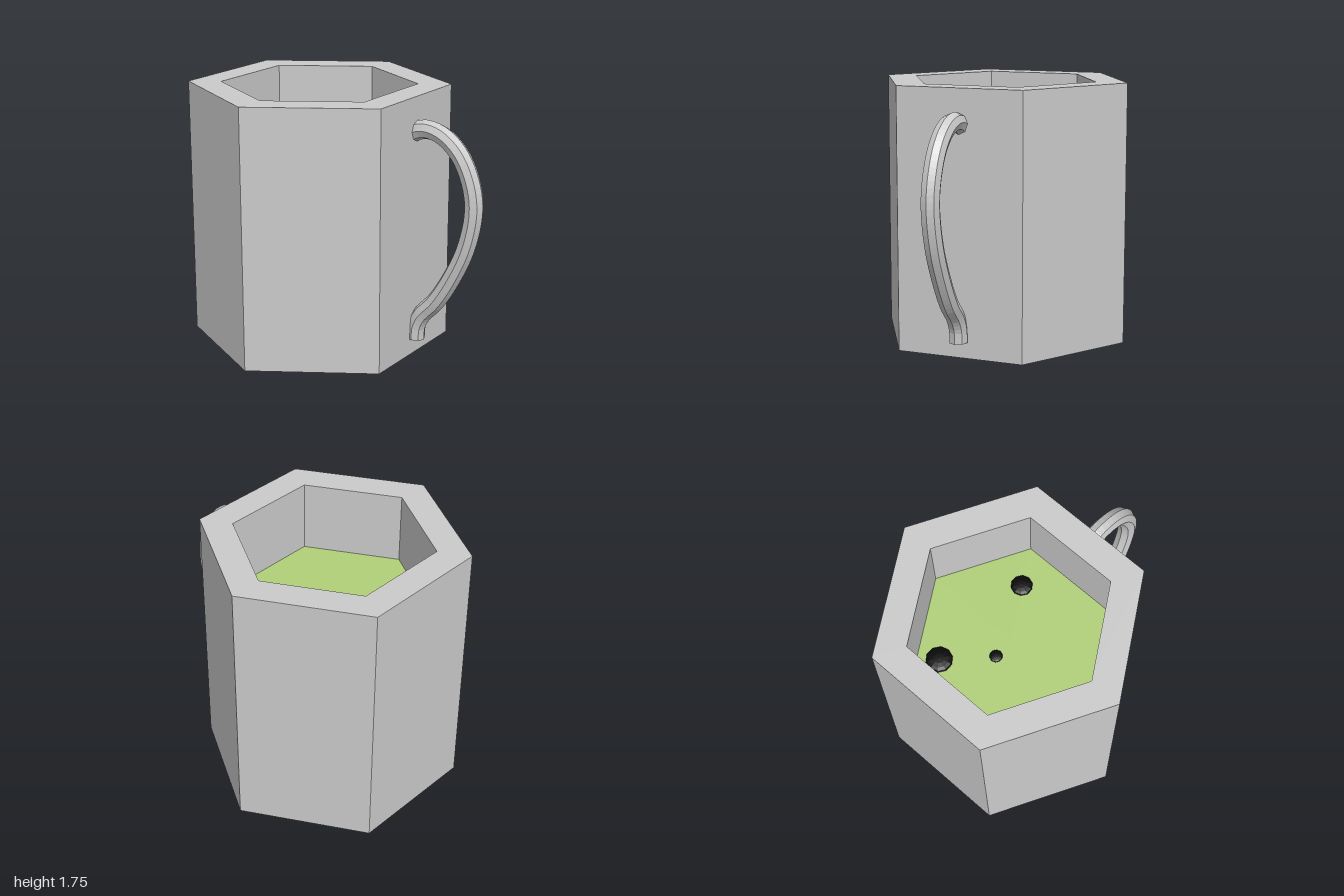
import * as THREE from 'three';

const CX = -0.245;      // axis of the cup body
const LEVEL = 1.265;    // height of the drink

function part(name, geometry, color = 0xcccccc) {
  const material = new THREE.MeshStandardMaterial({ color, flatShading: true });
  const mesh = new THREE.Mesh(geometry, material);
  mesh.name = name;
  return mesh;
}

export function createModel() {
  const group = new THREE.Group();
  group.name = 'mug';

  // Six-sided cup: underside, outer wall, rim, inner wall, inner floor
  const profile = [[0, 0], [0.872, 0], [0.872, 1.75], [0.653, 1.75], [0.653, 0.2], [0, 0.2]]
    .map(([r, y]) => new THREE.Vector2(r, y));
  const cup = part('cup', new THREE.LatheGeometry(profile, 6));
  cup.position.x = CX;
  group.add(cup);

  // Drink surface
  const drink = part('drink', new THREE.CircleGeometry(0.653, 6, Math.PI / 2), 0xb0d078);
  drink.rotation.x = -Math.PI / 2;
  drink.position.set(CX, LEVEL, 0);
  group.add(drink);

  // Dark pearls floating mostly submerged: x, z, radius
  const pearls = [[-0.64, -0.26, 0.088], [0.087, -0.2, 0.072], [-0.385, -0.003, 0.043]];
  for (const [x, z, r] of pearls) {
    const pearl = part('pearl', new THREE.SphereGeometry(r, 10, 8), 0x0a0a0a);
    pearl.scale.y = 0.3;
    pearl.position.set(x, LEVEL, z);
    group.add(pearl);
  }

  // Eight-sided handle, its top end sunk into the wall
  const path = new THREE.CatmullRomCurve3([
    [0.44, 1.48], [0.5, 1.522], [0.585, 1.543], [0.7, 1.515], [0.82, 1.415], [0.905, 1.25],
    [0.935, 1.07], [0.89, 0.82], [0.79, 0.59], [0.67, 0.395], [0.57, 0.285], [0.53, 0.2], [0.523, 0.11],
  ].map(([x, y]) => new THREE.Vector3(x, y, 0)));
  const handle = new THREE.Group();
  handle.name = 'handle';
  handle.add(part('handleBar', new THREE.TubeGeometry(path, 48, 0.0625, 8)));

  // Cap closing the lower end
  const cap = part('handleEnd', new THREE.CircleGeometry(0.0625, 8));
  cap.position.copy(path.getPointAt(1));
  cap.quaternion.setFromUnitVectors(new THREE.Vector3(0, 0, 1), path.getTangentAt(1));
  handle.add(cap);
  group.add(handle);

  return group;
}
